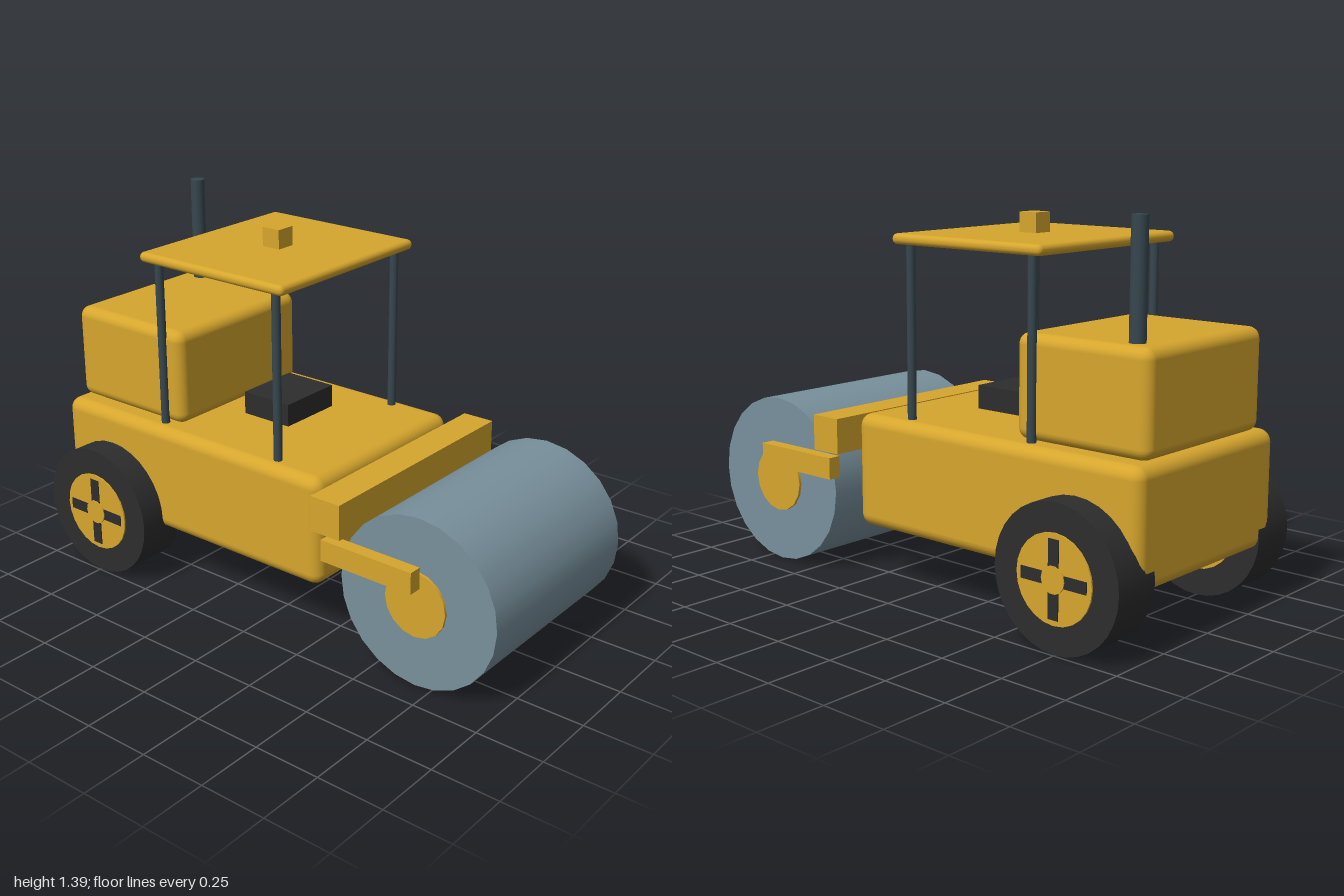
import * as THREE from 'three';
import { RoundedBoxGeometry } from 'three/addons/geometries/RoundedBoxGeometry.js';

const material = (name, color) => {
  const m = new THREE.MeshStandardMaterial({ color });
  m.name = name;
  return m;
};

export function createModel() {
  const yellow = material('yellow paint', 0xd6a62d);
  const steel = material('drum steel', 0x78909c);
  const rubber = material('black rubber', 0x2d2d2d);
  const darkSteel = material('dark steel', 0x37474f);

  const model = new THREE.Group();
  model.name = 'roadRoller';

  function add(name, geometry, mat, x, y, z, parent = model) {
    const mesh = new THREE.Mesh(geometry, mat);
    mesh.name = name;
    mesh.position.set(x, y, z);
    parent.add(mesh);
    return mesh;
  }
  const box = (w, h, d) => new THREE.BoxGeometry(w, h, d);
  const rounded = (w, h, d, r) => new RoundedBoxGeometry(w, h, d, 3, r);
  const post = (r, h, sides) => new THREE.CylinderGeometry(r, r, h, sides);
  // cylinder lying along x
  const axleCylinder = (r, w, sides) => post(r, w, sides).rotateZ(Math.PI / 2);

  // Chassis and engine hood
  add('chassis', rounded(0.79, 0.415, 1.255, 0.045), yellow, 0, 0.423, -0.368);
  add('engineHood', rounded(0.66, 0.36, 0.54, 0.04), yellow, 0, 0.81, -0.705);
  add('exhaustPipe', post(0.028, 0.43, 12), darkSteel, 0.25, 1.175, -0.873);
  add('seat', box(0.256, 0.085, 0.21), rubber, 0, 0.698, -0.198);

  // Canopy on four posts, with a beacon
  add('canopy', rounded(0.75, 0.038, 0.67, 0.018), yellow, 0, 1.266, -0.242);
  add('beacon', box(0.076, 0.076, 0.076), yellow, 0, 1.318, -0.242);
  for (const x of [-0.335, 0.335]) {
    for (const z of [0.035, -0.515]) {
      add('canopyPost', post(0.016, 0.64, 10), darkSteel, x, 0.935, z);
    }
  }

  // Front drum with its yoke
  add('drum', axleCylinder(0.315, 0.8, 24), steel, 0, 0.316, 0.685);
  add('drumHub', axleCylinder(0.122, 0.82, 16), yellow, 0, 0.316, 0.685);
  add('yokeBeam', box(0.93, 0.13, 0.124), yellow, 0, 0.55, 0.348);
  for (const s of [-1, 1]) {
    add('yokeArm', box(0.05, 0.08, 0.375), yellow, s * 0.44, 0.424, 0.518);
  }

  // Rear wheels: tyre, rim, four slots on each face and a hub cap
  for (const s of [-1, 1]) {
    const wheel = new THREE.Group();
    wheel.name = s > 0 ? 'leftWheel' : 'rightWheel';
    wheel.position.set(s * 0.4, 0.252, -0.747);
    model.add(wheel);
    add('tyre', axleCylinder(0.252, 0.188, 32), rubber, 0, 0, 0, wheel);
    add('rim', axleCylinder(0.153, 0.2, 24), yellow, 0, 0, 0, wheel);
    add('hubCap', axleCylinder(0.047, 0.212, 14), yellow, 0, 0, 0, wheel);
    for (const face of [-0.1, 0.1]) {
      for (let i = 0; i < 4; i++) {
        const a = (i * Math.PI) / 2;
        const slot = add('rimSlot', box(0.006, 0.094, 0.042), rubber,
          face, 0.086 * Math.cos(a), 0.086 * Math.sin(a), wheel);
        slot.rotation.x = a;
      }
    }
  }
  return model;
}
